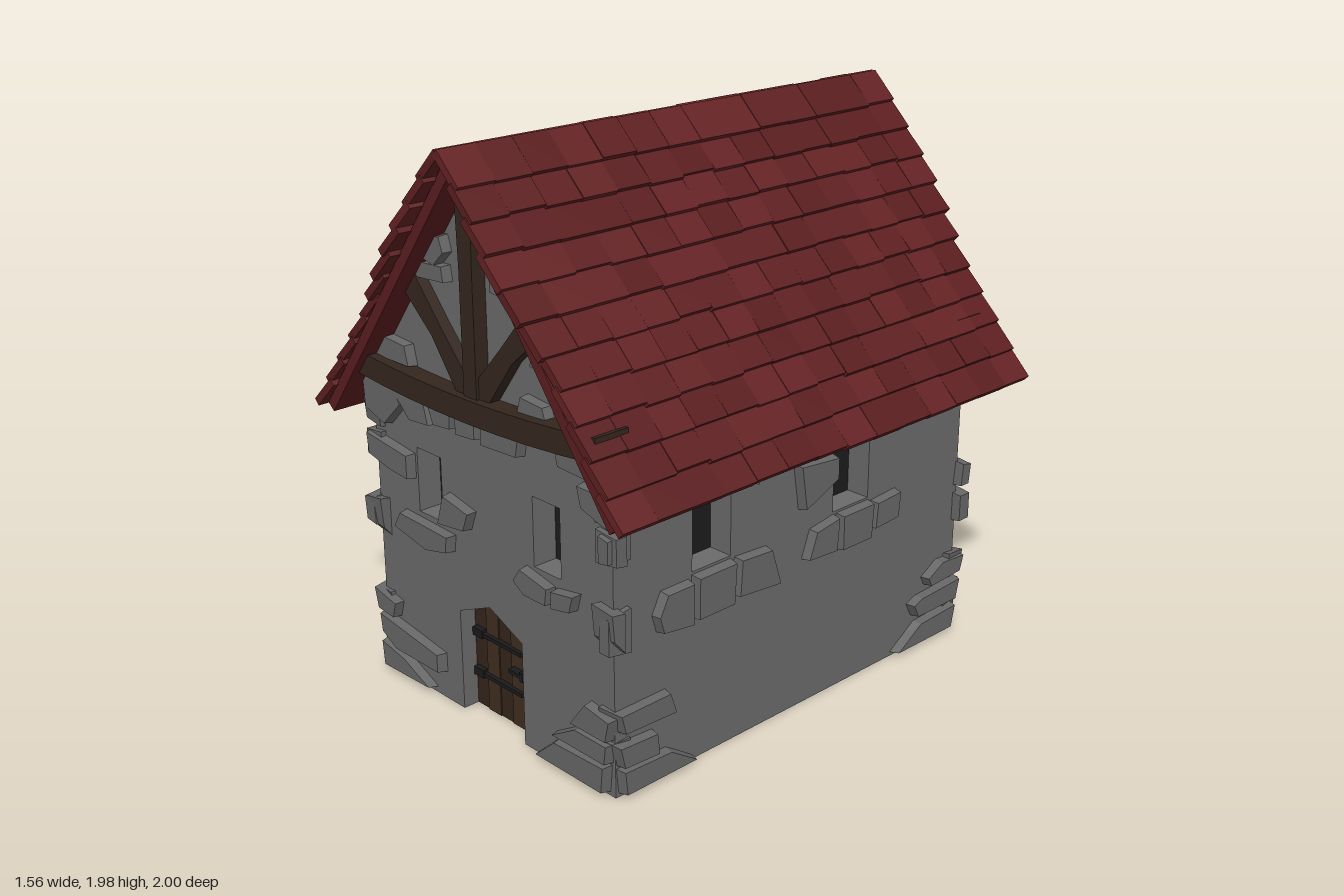
import * as THREE from 'three';

const mat = (color) => new THREE.MeshStandardMaterial({ color, flatShading: true });
const WALL = mat(0x6a6a6a), STONE = mat(0x666666), DARK = mat(0x1c1c1c), TIMBER = mat(0x33261e);
const PLANKS = [mat(0x33241a), mat(0x3f2d1e)];
const REDS = [mat(0x5e1f21), mat(0x5a1d1f), mat(0x642224)];
const IRON = mat(0x1a1a1c);

let seed = 7;
const rand = () => (seed = (seed * 16807) % 2147483647) / 2147483647;

function add(parent, name, geometry, material, x = 0, y = 0, z = 0) {
  const m = new THREE.Mesh(geometry, material);
  m.name = name;
  m.position.set(x, y, z);
  parent.add(m);
  return m;
}
const box = (w, h, d) => new THREE.BoxGeometry(w, h, d);
const points = (flat, flip = 1) => {
  const p = [];
  for (let i = 0; i < flat.length; i += 2) p.push(new THREE.Vector2(flat[i] * flip, flat[i + 1]));
  return p;
};
const extrude = (shape, depth, z) =>
  new THREE.ExtrudeGeometry(shape, { depth, bevelEnabled: false }).translate(0, 0, z);

// Rough stone: a prism whose outer face is drawn in towards its middle
function stone(parent, flat, flip) {
  const pts = points(flat, flip);
  const c = pts.reduce((a, p) => a.add(p), new THREE.Vector2()).divideScalar(pts.length);
  const g = extrude(new THREE.Shape(pts), 0.09, -0.055);
  const pos = g.attributes.position;
  for (let i = 0; i < pos.count; i++) {
    if (pos.getZ(i) < 0) continue;
    pos.setX(i, c.x + (pos.getX(i) - c.x) * 0.86);
    pos.setY(i, c.y + (pos.getY(i) - c.y) * 0.82);
  }
  g.computeVertexNormals();
  add(parent, 'stone', g, STONE);
}

// Wall panel with openings; local +z points outwards
function wall(parent, name, outline, openings, rotY, x, z) {
  const g = new THREE.Group();
  g.name = name;
  g.rotation.y = rotY;
  g.position.set(x, 0, z);
  const shape = new THREE.Shape(points(outline));
  for (const [x0, x1, y0, y1] of openings) {
    shape.holes.push(new THREE.Path(points([x0, y0, x0, y1, x1, y1, x1, y0])));
    add(g, 'windowRecess', box(x1 - x0 + 0.04, y1 - y0 + 0.04, 0.02), DARK, (x0 + x1) / 2, (y0 + y1) / 2, -0.1);
  }
  add(g, 'wallPanel', extrude(shape, 0.1, -0.1), WALL);
  parent.add(g);
  return g;
}

// Stone outlines as x, y pairs on each wall
const FRONT_LOW = [
  [-.63, .32, -.49, .29, -.51, .22, -.61, .23], [-.62, .23, -.24, .18, -.24, .10, -.52, .10, -.61, .15],
  [-.61, .12, -.46, .09, -.30, .02, -.60, .01], [.49, .31, .62, .29, .60, .20, .41, .20],
  [.44, .20, .61, .20, .60, .12, .31, .12], [.33, .11, .60, .12, .59, .01, .22, .01],
  [-.65, .66, -.59, .67, -.58, .55, -.64, .56], [.57, .65, .62, .65, .62, .50, .57, .50],
  [-.46, .66, -.16, .65, -.17, .58, -.30, .55, -.50, .59], [-.20, .80, -.05, .77, -.08, .69, -.24, .67],
  [.19, .67, .34, .64, .33, .57, .21, .57, .15, .61], [.34, .64, .46, .66, .44, .59, .34, .57],
];
const FRONT_HIGH = [
  [-.63, .91, -.37, .88, -.37, .78, -.49, .79, -.62, .82], [.57, .91, .62, .90, .62, .81, .57, .80],
  [.47, 1.04, .63, 1.04, .62, .92, .49, .96], [-.63, 1.12, -.42, 1.11, -.39, 1.05, -.50, .94, -.62, .98],
  [-.46, 1.10, -.27, 1.12, -.24, 1.01, -.36, 1.00], [-.27, 1.12, -.12, 1.12, -.13, 1.03, -.23, 1.02],
  [-.12, 1.12, 0, 1.12, 0, 1.03, -.11, 1.02], [.01, 1.12, .23, 1.13, .21, 1.03, .01, 1.02],
  [.36, 1.15, .62, 1.15, .62, 1.05, .38, 1.06],
];
const GABLE = [
  [-.25, 1.66, -.14, 1.68, -.12, 1.62, -.18, 1.56, -.26, 1.58], [-.33, 1.57, -.13, 1.58, -.12, 1.52, -.28, 1.51],
  [.09, 1.60, .24, 1.59, .21, 1.53, .09, 1.54], [.10, 1.68, .18, 1.67, .20, 1.62, .12, 1.61],
  [.28, 1.41, .41, 1.40, .42, 1.33, .27, 1.35], [-.50, 1.28, -.35, 1.27, -.33, 1.19, -.55, 1.19],
  [-.05, 1.84, .05, 1.84, .05, 1.77, -.04, 1.76], [.22, 1.25, .34, 1.24, .36, 1.18, .20, 1.18],
];
const BACK = [
  [.49, .66, .30, .67, .25, .58, .44, .54], [.37, .54, .15, .50, .13, .42, .33, .40],
  [-.10, .92, -.40, .92, -.46, .83, -.16, .82], [-.28, .82, -.62, .81, -.62, .72, -.30, .72],
  [-.40, .71, -.62, .70, -.62, .61, -.44, .62], [-.40, .31, -.62, .30, -.61, .21, -.38, .22],
  [-.30, .20, -.62, .20, -.61, .12, -.33, .11], [-.36, .10, -.62, .11, -.60, .01, -.25, .01],
  [.63, .32, .47, .29, .50, .21, .62, .22], [.62, .20, .45, .19, .40, .11, .61, .10],
  [.61, .10, .42, .09, .34, .01, .60, .01], [.63, 1.08, .42, 1.08, .44, .97, .62, .96],
];
// Side walls, x here runs along the building with the front positive
const SIDE_WINDOWS = [
  [.70, .58, .66, .66, .53, .66, .53, .49, .68, .51], [.53, .67, .34, .67, .35, .50, .53, .50],
  [.34, .67, .18, .66, .13, .50, .35, .52], [.02, .54, -.02, .65, -.15, .67, -.14, .53],
  [-.15, .67, -.33, .67, -.32, .52, -.15, .52], [-.33, .66, -.47, .67, -.46, .56, -.32, .55],
  [.07, .91, -.14, .89, -.14, .80, .04, .72], [.36, 1.05, .24, 1.05, .25, .88, .36, .93],
  [.74, 1.03, .59, 1.03, .60, .94, .71, .95],
];
const SIDE_CORNERS = [
  [.88, 1.03, .77, 1.03, .75, .91, .87, .93], [.87, .91, .82, .91, .82, .79, .87, .80],
  [.89, .67, .83, .66, .83, .50, .88, .56], [.87, .31, .63, .31, .60, .22, .85, .23],
  [.87, .20, .69, .19, .68, .10, .85, .11], [.86, .11, .63, .10, .50, .01, .85, .01],
  [-.60, .95, -.60, 1.03, -.87, 1.03, -.87, .93], [-.81, .67, -.86, .66, -.85, .57, -.80, .57],
  [-.80, .55, -.86, .55, -.86, .43, -.80, .43], [-.63, .26, -.72, .31, -.86, .30, -.84, .23, -.65, .22],
  [-.55, .18, -.60, .20, -.85, .21, -.83, .12, -.58, .12], [-.46, .01, -.60, .10, -.83, .11, -.81, .01],
];

// Timber frame over a gable: bowed beam, king post and two braces
function timbers(parent) {
  const g = new THREE.Group();
  g.name = 'timberFrame';
  const beam = new THREE.BoxGeometry(1.22, 0.08, 0.13, 8);
  const p = beam.attributes.position;
  for (let i = 0; i < p.count; i++) p.setY(i, p.getY(i) + 0.015 * p.getX(i) + 0.09 * p.getX(i) ** 2);
  add(g, 'tieBeam', beam, TIMBER, 0, 1.145, 0.005);
  add(g, 'kingPost', extrude(new THREE.Shape(points([-.03, 1.17, .035, 1.17, .035, 1.6, .04, 1.88, -.04, 1.88, -.03, 1.6])), 0.1, -0.05), TIMBER);
  for (const s of [-1, 1]) {
    add(g, 'brace', extrude(new THREE.Shape(points([.02, 1.18, .08, 1.18, .20, 1.34, .36, 1.48, .29, 1.54, .15, 1.38, .02, 1.24], s)), 0.09, -0.05), TIMBER);
  }
  parent.add(g);
}

function door(parent) {
  const g = new THREE.Group();
  g.name = 'door';
  const top = (x) => 0.44 - 0.44 * Math.abs(x + 0.008);
  for (let i = 0; i < 5; i++) {
    const a = -0.17 + i * 0.065, b = a + 0.065;
    const outline = [a, 0, b, 0, b, top(b)];
    if (i === 2) outline.push(-0.008, 0.44);
    outline.push(a, top(a));
    add(g, 'doorPlank', extrude(new THREE.Shape(points(outline)), 0.04, -0.1 + 0.004 * (i % 2)), PLANKS[i % 2]);
  }
  for (const y of [0.135, 0.285]) {
    add(g, 'hingeStrap', box(0.25, 0.014, 0.02), IRON, -0.035, y, -0.052);
    add(g, 'hingePlate', box(0.05, 0.03, 0.02), IRON, -0.135, y, -0.05);
  }
  add(g, 'doorHandle', box(0.07, 0.014, 0.03), IRON, 0.075, 0.215, -0.045);
  add(g, 'handlePlate', box(0.015, 0.035, 0.03), IRON, 0.105, 0.215, -0.045);
  parent.add(g);
}

// One roof slope: overlapping courses of tiles, local x runs down the slope
function roofSlope(parent, rotY) {
  const turn = new THREE.Group(), slope = new THREE.Group();
  turn.name = 'roofSlope';
  turn.rotation.y = rotY;
  slope.position.y = 1.96;
  slope.rotation.z = -Math.atan2(0.98, 0.745);
  const halves = [.99, .995, 1, 1, .99, .97, .95, .955, .96, .965, .97];
  const pitch = 1.225 / halves.length, n = 14;
  halves.forEach((half, row) => {
    const w = (2 * half) / n;
    for (let i = 0; i < n; i++) {
      const len = pitch + 0.02 + 0.01 * rand();
      const t = add(slope, 'roofTile', box(len, 0.028, w), REDS[Math.floor(rand() * 3)],
        row * pitch + len / 2 - 0.01, 0.012 + 0.004 * rand(), -half + (i + 0.5) * w);
      t.rotation.z = 0.13 + 0.03 * rand();
    }
  });
  turn.add(slope);
  parent.add(turn);
}

export function createModel() {
  const house = new THREE.Group();
  house.name = 'stoneHouse';

  // Walls
  const gable = [.6, 0, .6, 1.12, 0, 1.9, -.6, 1.12, -.6, 0];
  const doorway = [-.17, 0, -.17, .37, -.008, .44, .155, .37, .155, 0];
  const front = wall(house, 'frontWall', [...gable, ...doorway], [[-.37, -.24, .67, .9], [.23, .36, .67, .91]], 0, 0, 0.85);
  const back = wall(house, 'backWall', gable, [], Math.PI, 0, -0.82);
  [...FRONT_LOW, ...FRONT_HIGH, ...GABLE].forEach((s) => stone(front, s, 1));
  [...BACK, ...GABLE].forEach((s) => stone(back, s, -1));
  [front, back].forEach(timbers);
  door(front);
  for (const s of [1, -1]) {
    const windows = [[.35, .52], [-.32, -.14]].map(([a, b]) => (s > 0 ? [-b, -a, .67, .91] : [a, b, .67, .91]));
    const end = s > 0 ? [-.85, .82] : [-.82, .85];
    const side = wall(house, s > 0 ? 'leftWall' : 'rightWall', [end[0], 0, end[1], 0, end[1], 1.14, end[0], 1.14], windows, s * Math.PI / 2, s * 0.6, 0);
    [...SIDE_WINDOWS, ...SIDE_CORNERS].forEach((o) => stone(side, o, -s));
  }
  add(house, 'floor', box(1.18, 0.02, 1.57), WALL, 0, 0.011, -0.03);

  // Roof
  const boards = [0, 1.95, .73, .99, .70, .965, 0, 1.885, -.70, .965, -.73, .99];
  add(house, 'roofBoards', extrude(new THREE.Shape(points(boards)), 1.9, -0.95), REDS[1]);
  roofSlope(house, 0);
  roofSlope(house, Math.PI);
  return house;
}
